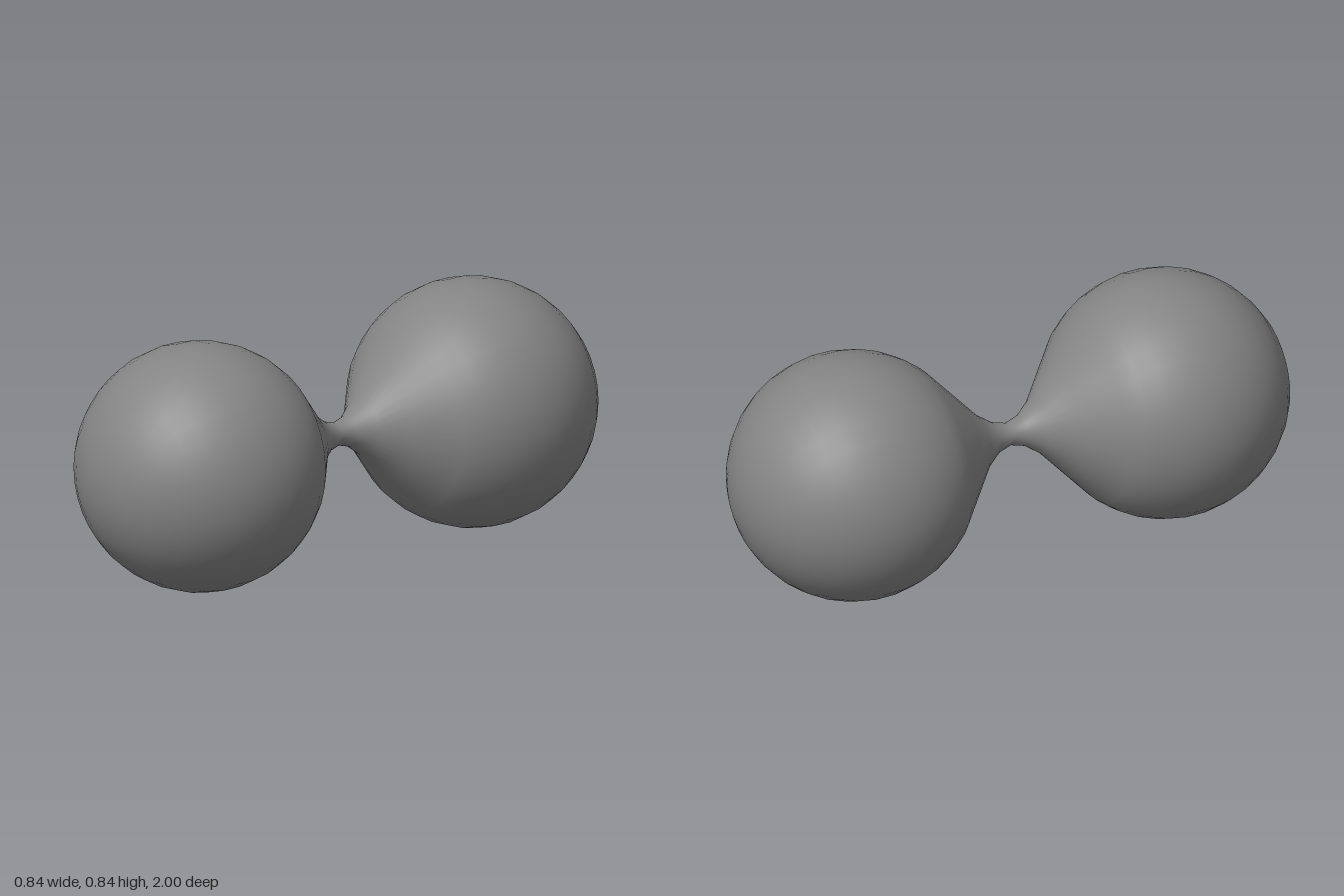
import * as THREE from 'three';

const R = 0.419;      // bulb radius
const CENTRE = 0.581; // bulb centre along z

export function createModel() {
  const group = new THREE.Group();

  // Half profile: narrow waist, straight flared neck, then the round bulb
  const half = [[0.038, 0], [0.053, 0.052], [0.096, 0.11], [0.187, 0.19]]
    .map(([r, z]) => new THREE.Vector2(r, z));
  const start = THREE.MathUtils.degToRad(47);
  const steps = 14;
  for (let i = 0; i <= steps; i++) {
    const a = start + (Math.PI - start) * i / steps;
    half.push(new THREE.Vector2(
      i === steps ? 0 : R * Math.sin(a), CENTRE - R * Math.cos(a)));
  }

  // Mirror the half profile about the waist
  const mirrored = half.slice(1).reverse().map(p => new THREE.Vector2(p.x, -p.y));
  const geometry = new THREE.LatheGeometry([...mirrored, ...half], 32);
  geometry.rotateX(Math.PI / 2);

  // Smooth the two poles: their normals point straight along z
  const { position, normal } = geometry.attributes;
  for (let i = 0; i < position.count; i++) {
    if (Math.hypot(position.getX(i), position.getY(i)) < 1e-4) {
      normal.setXYZ(i, 0, 0, Math.sign(position.getZ(i)));
    }
  }

  const body = new THREE.Mesh(geometry, new THREE.MeshStandardMaterial({ color: 0x848484 }));
  body.name = 'doubleBulb';
  body.position.y = 0.42;
  group.add(body);
  return group;
}
